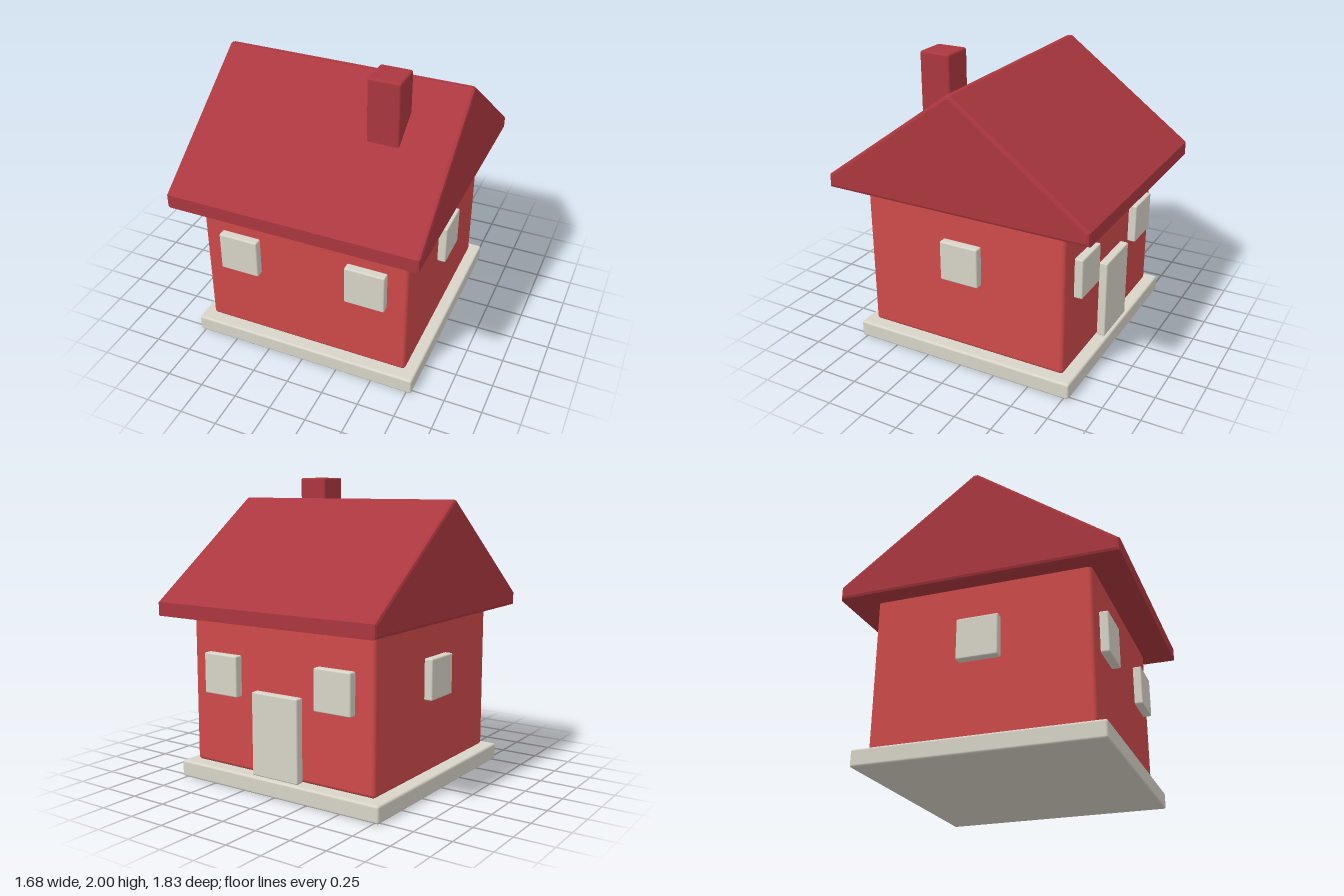
import * as THREE from 'three';
import { RoundedBoxGeometry } from 'three/addons/geometries/RoundedBoxGeometry.js';

const material = (name, color) => {
  const m = new THREE.MeshStandardMaterial({ color });
  m.name = name;
  return m;
};

export function createModel() {
  const house = new THREE.Group();
  house.name = 'house';
  const wallRed = material('wall red', 0xcf4a4a);
  const roofRed = material('roof red', 0xab373f);
  const trimGrey = material('trim grey', 0xd8d4c8);

  // Softly rounded box given by its size and centre
  const block = (name, mat, size, pos, radius) => {
    const mesh = new THREE.Mesh(new RoundedBoxGeometry(...size, 3, radius), mat);
    mesh.name = name;
    mesh.position.set(...pos);
    house.add(mesh);
    return mesh;
  };

  // Base slab, walls and chimney
  block('base', trimGrey, [1.57, 0.112, 1.57], [0, 0.056, 0], 0.015);
  block('walls', wallRed, [1.42, 1.04, 1.42], [0, 0.635, 0], 0.025);
  block('chimney', roofRed, [0.212, 0.7, 0.212], [0.4, 1.65, 0.295], 0.015);

  // Gable roof: bevelled profile extruded along the ridge
  const bevel = 0.02;
  const profile = new THREE.Shape([
    [-0.895, 1.13], [0.895, 1.13], [0.895, 1.19], [0.008, 1.84], [-0.008, 1.84], [-0.895, 1.19],
  ].map(([z, y]) => new THREE.Vector2(z, y)));
  const length = 1.68 - 2 * bevel;
  const roofGeometry = new THREE.ExtrudeGeometry(profile, {
    depth: length, bevelSize: bevel, bevelThickness: bevel, bevelSegments: 2,
  });
  roofGeometry.translate(0, 0, -length / 2);
  roofGeometry.rotateY(Math.PI / 2);
  const roof = new THREE.Mesh(roofGeometry, roofRed);
  roof.name = 'roof';
  house.add(roof);

  // Windows: two on the front and back, one on each side
  const wallFace = 0.737;
  for (const side of [-1, 1]) {
    for (const x of [-0.44, 0.44]) {
      block(side > 0 ? 'frontWindow' : 'backWindow', trimGrey,
        [0.27, 0.27, 0.06], [x, 0.738, side * wallFace], 0.01);
    }
    block(side > 0 ? 'leftWindow' : 'rightWindow', trimGrey,
      [0.06, 0.27, 0.27], [side * wallFace, 0.738, 0], 0.01);
  }

  // Door at the back
  block('door', trimGrey, [0.36, 0.545, 0.06], [0, 0.388, -wallFace], 0.01);

  return house;
}
